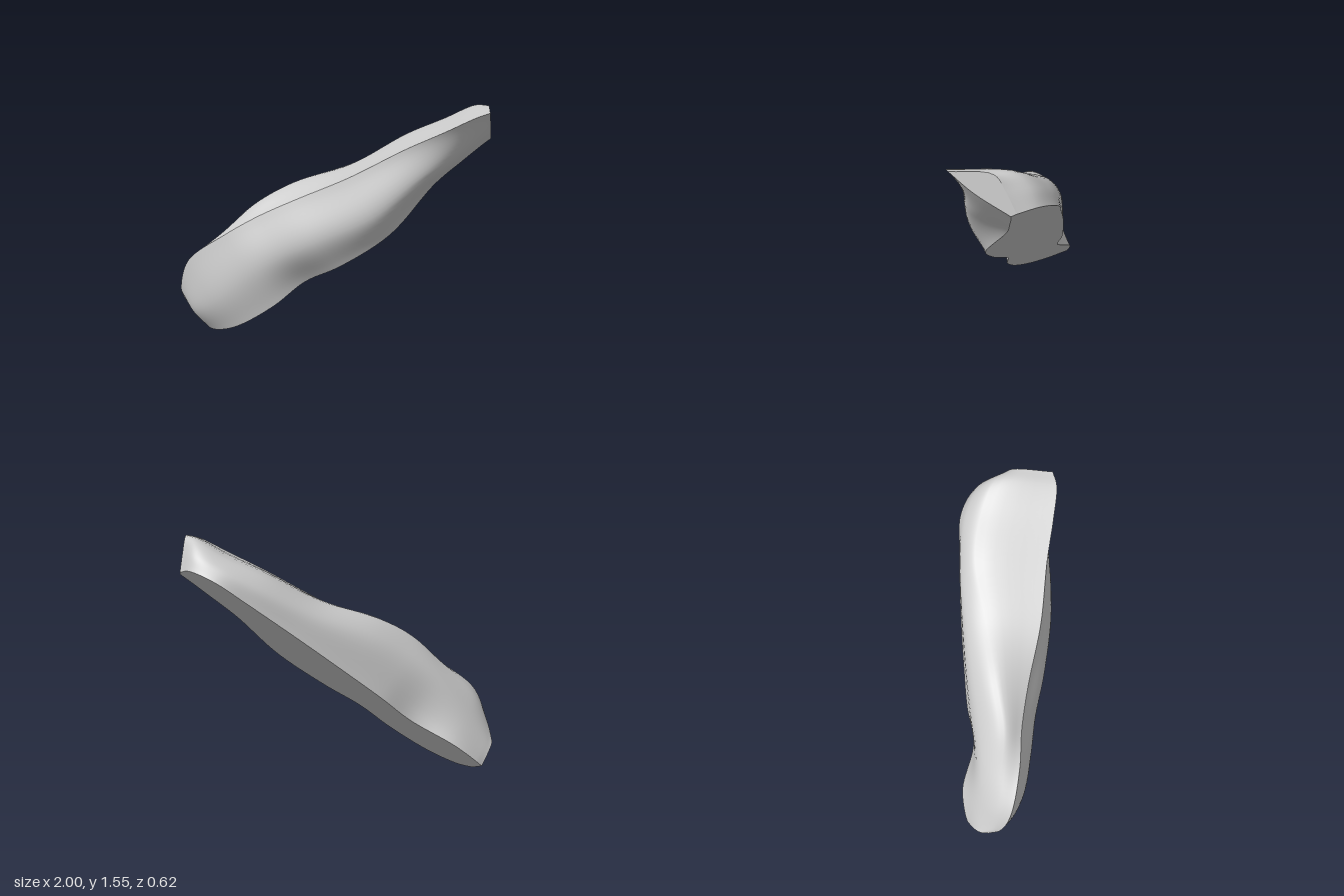
import * as THREE from 'three';

// Stations along the length: u, zA, zB,vB, zC,vC, zD,vD, zE,vE, zF
// A = front edge of the flat cut, B = front bulge, C = sharp upper edge,
// D = top, E = back face, F = back edge of the cut
const STATIONS = [
  [-0.725, -0.03, 0.01, 0.61, 0.00, 0.73, -0.05, 0.73, -0.10, 0.68, -0.155],
  [-0.66, 0.08, 0.13, 0.63, 0.08, 0.81, 0.02, 0.80, -0.08, 0.73, -0.175],
  [-0.47, 0.18, 0.215, 0.64, 0.145, 0.945, 0.04, 0.91, -0.08, 0.80, -0.2],
  [-0.16, 0.20, 0.245, 0.67, 0.175, 0.96, 0.06, 0.97, -0.09, 0.87, -0.145],
  [0.1, 0.155, 0.255, 0.66, 0.17, 0.945, 0.06, 1.01, -0.12, 0.89, -0.20],
  [0.37, 0.20, 0.29, 0.63, 0.19, 0.91, 0.00, 0.985, -0.17, 0.87, -0.235],
  [0.75, 0.185, 0.305, 0.58, 0.24, 0.855, -0.10, 0.87, -0.235, 0.79, -0.275],
  [1.13, 0.0, 0.25, 0.61, 0.25, 0.82, -0.19, 0.83, -0.28, 0.75, -0.30],
  [1.35, -0.05, 0.18, 0.62, 0.27, 0.785, -0.17, 0.79, -0.26, 0.73, -0.305],
  [1.5, -0.08, 0.13, 0.63, 0.275, 0.76, -0.10, 0.77, -0.19, 0.70, -0.23],
  [1.57, -0.09, 0.11, 0.64, 0.245, 0.735, 0.00, 0.735, -0.06, 0.66, -0.12],
];
const ROWS = 72, COLS = 18;

// Turn tilted (u, v) coordinates upright; sections lean outward near the upper end
function place(u, v, z) {
  const s = u + Math.max(0, u - 1.25) * 1.6 * (v - 0.55);
  return new THREE.Vector3(0.827 * s - 0.562 * v, 0.562 * s + 0.827 * v, z);
}

const cutHeight = (z) => 0.495 - 0.48 * z;

function sectionPoints([u, a, bz, bv, cz, cv, dz, dv, ez, ev, f]) {
  return [[a, cutHeight(a)], [bz, bv], [cz, cv], [dz, dv], [ez, ev], [f, cutHeight(f)]]
    .map(([z, v]) => place(u, v, z));
}

function geometryFrom(points, index) {
  const geo = new THREE.BufferGeometry().setFromPoints(points);
  geo.setIndex(index);
  geo.computeVertexNormals();
  return geo;
}

// Skin a list of equally long rows
function skin(rows) {
  const n = rows[0].length, index = [];
  for (let i = 0; i < rows.length - 1; i++) {
    for (let j = 0; j < n - 1; j++) {
      const a = i * n + j, b = a + n;
      index.push(a, b, a + 1, b, b + 1, a + 1);
    }
  }
  return geometryFrom(rows.flat(), index);
}

// Close an end with a fan
function cap(ring, flip) {
  const centre = new THREE.Vector3();
  ring.forEach((p) => centre.addScaledVector(p, 1 / ring.length));
  const index = [];
  ring.forEach((_, j) => {
    const a = j + 1, b = ((j + 1) % ring.length) + 1;
    index.push(0, flip ? b : a, flip ? a : b);
  });
  return geometryFrom([centre, ...ring], index);
}

export function createModel() {
  const group = new THREE.Group();
  group.name = 'rockFragment';
  const material = new THREE.MeshStandardMaterial({ color: 0xcccccc });
  const add = (name, geometry) => {
    const mesh = new THREE.Mesh(geometry, material);
    mesh.name = name;
    group.add(mesh);
  };

  // Smooth rails lengthwise, then curves across them that meet at the sharp upper edge
  const sections = STATIONS.map(sectionPoints);
  const rails = sections[0].map((_, k) => new THREE.CatmullRomCurve3(sections.map((s) => s[k])));
  const front = [], back = [];
  for (let i = 0; i <= ROWS; i++) {
    const p = rails.map((r) => r.getPoint(i / ROWS));
    front.push(new THREE.CatmullRomCurve3(p.slice(0, 3)).getPoints(COLS));
    back.push(new THREE.CatmullRomCurve3(p.slice(2)).getPoints(COLS));
  }
  const ring = (i) => [...front[i], ...back[i].slice(1)];

  add('frontFace', skin(front));
  add('topAndBackFace', skin(back));
  add('flatCut', skin(front.map((row, i) => [back[i][COLS], row[0]])));
  add('lowerEnd', cap(ring(0), false));
  add('upperEnd', cap(ring(ROWS), true));
  return group;
}
